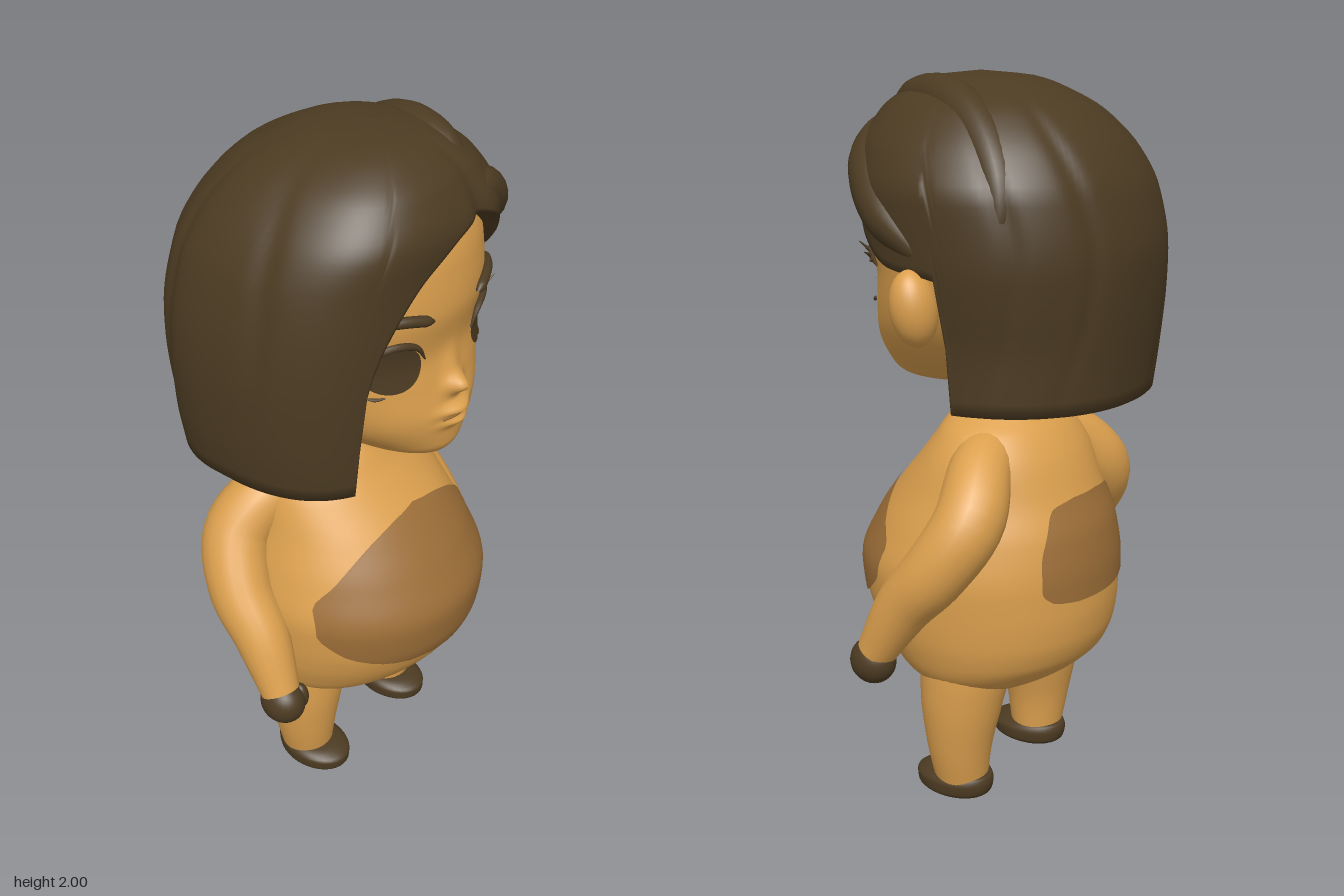
import * as THREE from 'three';

const mat = (name, color) => {
  const m = new THREE.MeshStandardMaterial({ color });
  m.name = name;
  return m;
};

// Smooth monotone interpolation in a table whose rows start with y
function at(table, y) {
  const n = table.length;
  let i = 0;
  while (i < n - 2 && y > table[i + 1][0]) i++;
  const a = table[i], b = table[i + 1], h = b[0] - a[0];
  const t = Math.min(1, Math.max(0, (y - a[0]) / h));
  const slope = (k, c) => {
    const j = Math.min(n - 2, Math.max(0, k));
    return (table[j + 1][c] - table[j][c]) / (table[j + 1][0] - table[j][0]);
  };
  const tangent = (k, c) => {
    const p = slope(k - 1, c), q = slope(k, c);
    return p * q > 0 ? 2 * p * q / (p + q) : 0;
  };
  return a.slice(1).map((v, k) => {
    const c = k + 1, t2 = t * t, t3 = t2 * t;
    return v * (2 * t3 - 3 * t2 + 1) + b[c] * (3 * t2 - 2 * t3)
      + h * (tangent(i, c) * (t3 - 2 * t2 + t) + tangent(i + 1, c) * (t3 - t2));
  });
}

// Surface grid from f(i, j) -> [x, y, z]; wraps in i when closed
function grid(nu, nv, f, closed) {
  const pos = [], idx = [], w = closed ? nu : nu + 1;
  for (let j = 0; j <= nv; j++) for (let i = 0; i < w; i++) pos.push(...f(i, j));
  for (let j = 0; j < nv; j++) for (let i = 0; i < nu; i++) {
    const k = (i + 1) % w, a = j * w + i, b = j * w + k, c = a + w, d = b + w;
    idx.push(a, b, d, a, d, c);
  }
  const g = new THREE.BufferGeometry();
  g.setAttribute('position', new THREE.Float32BufferAttribute(pos, 3));
  g.setIndex(idx);
  g.computeVertexNormals();
  return g;
}

// Upright form from rows [y, halfWidth, frontZ, backZ]; bumps [y, height, sizeX, sizeY] raise the front
function loft(table, nu = 48, sub = 5, bumps = []) {
  const nv = (table.length - 1) * sub;
  return grid(nu, nv, (i, j) => {
    const r = Math.min(table.length - 2, Math.floor(j / sub));
    const y = THREE.MathUtils.lerp(table[r][0], table[r + 1][0], j / sub - r);
    const [w, f, b] = at(table, y), a = i / nu * Math.PI * 2, x = w * Math.sin(a);
    let z = (f + b) / 2 + (f - b) / 2 * Math.cos(a);
    if (Math.cos(a) > 0) for (const [by, h, sx, sy] of bumps)
      z += h * Math.exp(-((x / sx) ** 2) - ((y - by) / sy) ** 2);
    return [x, y, z];
  }, true);
}

// z of a lofted form at (x, y), front (side = 1) or back (side = -1)
function surfaceZ(table, x, y, side = 1) {
  const [w, f, b] = at(table, y);
  return (f + b) / 2 + side * (f - b) / 2 * Math.sqrt(Math.max(0, 1 - (x / w) ** 2));
}

// Thin painted patch lying on a lofted form; span(y) gives its two x limits
function decal(table, y0, y1, span, side = 1, lift = 0.006) {
  const n = 32;
  return grid(n, n, (i, j) => {
    const y = THREE.MathUtils.lerp(y0, y1, (1 - Math.cos(j / n * Math.PI)) / 2);
    const w = at(table, y)[0];
    const [a, b] = span(y).map(x => Math.asin(THREE.MathUtils.clamp(x / w, -1, 1)));
    const u = side > 0 ? i / n : 1 - i / n, x = w * Math.sin(a + (b - a) * u);
    return [x * (1 + lift * 2), y, surfaceZ(table, x, y, side) + side * lift];
  });
}

// Tube of changing radius through points [x, y, z, r]
function limb(points, nu = 20, nv = 28) {
  const curve = new THREE.CatmullRomCurve3(points.map(p => new THREE.Vector3(p[0], p[1], p[2])));
  const { normals, binormals } = curve.computeFrenetFrames(nv);
  const radii = points.map((p, i) => [i, p[3]]);
  return grid(nu, nv, (i, j) => {
    const t = curve.getUtoTmapping(j / nv), r = at(radii, t * (points.length - 1))[0];
    const a = i / nu * Math.PI * 2;
    return curve.getPoint(t).addScaledVector(normals[j], r * Math.cos(a))
      .addScaledVector(binormals[j], r * Math.sin(a)).toArray();
  }, true);
}

const TORSO = [[0.3, 0, 0.01, 0.01], [0.312, 0.13, 0.12, -0.09], [0.345, 0.24, 0.205, -0.155],
  [0.4, 0.31, 0.28, -0.235], [0.45, 0.332, 0.328, -0.28], [0.52, 0.349, 0.375, -0.305],
  [0.6, 0.358, 0.405, -0.313], [0.68, 0.362, 0.412, -0.312], [0.8, 0.335, 0.36, -0.295],
  [0.9, 0.3, 0.29, -0.255], [1, 0.268, 0.205, -0.215], [1.07, 0.22, 0.155, -0.17],
  [1.13, 0.13, 0.13, -0.11], [1.18, 0.105, 0.125, -0.085], [1.26, 0.105, 0.125, -0.085]];

const HEAD = [[1.165, 0, 0.22, 0.22], [1.178, 0.09, 0.335, 0.05], [1.22, 0.17, 0.362, -0.1],
  [1.3, 0.265, 0.368, -0.22], [1.4, 0.322, 0.35, -0.28], [1.48, 0.343, 0.338, -0.31],
  [1.6, 0.35, 0.355, -0.31], [1.7, 0.34, 0.345, -0.28], [1.8, 0.29, 0.31, -0.2],
  [1.9, 0.18, 0.2, -0.1], [1.94, 0, 0.05, 0.05]];

// Nose tip, nose bridge, upper lip, lower lip
const FEATURES = [[1.388, 0.042, 0.03, 0.024], [1.43, 0.014, 0.03, 0.05],
  [1.322, 0.03, 0.05, 0.014], [1.287, 0.022, 0.045, 0.014]];

const FOOT = [[0, 0, 0.04, 0.04], [0.006, 0.06, 0.125, -0.045], [0.025, 0.084, 0.163, -0.07],
  [0.05, 0.086, 0.165, -0.075], [0.07, 0.075, 0.13, -0.07], [0.085, 0, 0.02, 0.02]];

// Hair rows: y, left width, right width, frontZ, backZ
const HAIR = [[1.15, 0.355, 0.43, 0.33, -0.375], [1.3, 0.36, 0.45, 0.34, -0.392],
  [1.45, 0.385, 0.456, 0.35, -0.408], [1.55, 0.4, 0.45, 0.355, -0.413], [1.7, 0.405, 0.42, 0.362, -0.388],
  [1.8, 0.365, 0.375, 0.372, -0.34], [1.9, 0.28, 0.29, 0.33, -0.245], [1.95, 0.2, 0.215, 0.275, -0.155],
  [1.985, 0.11, 0.12, 0.2, -0.06], [1.998, 0, 0, 0.08, 0.08]];

// Lower hair edge: angle from the front (degrees, left positive), y
const EDGE = [[-180, 1.17], [-36, 1.165], [-32, 1.46], [-25, 1.6], [-11, 1.74], [6, 1.815], [24, 1.77],
  [40, 1.67], [55, 1.585], [72, 1.53], [94, 1.51], [98, 1.17], [180, 1.17]];

// Hair shell: down the outside, round the rim and up the inside
function hairShell() {
  const nu = 180, nv = 40, strands = [2.0, 2.55, -2.75, -2.2, -1.5];
  return grid(nu, nv * 2 + 1, (i, j) => {
    const a = Math.PI - i / nu * Math.PI * 2;
    const inside = j > nv, v = (inside ? nv * 2 + 1 - j : j) / nv;
    const low = at(EDGE, a * 180 / Math.PI)[0], y = 1.998 - (1.998 - low) * v ** 1.8;
    const [l, r, f, b] = at(HAIR, y);
    let k = inside ? 0.9 : 1;
    if (!inside) {
      // Grooves between strands, and the parting at the front
      for (const s of strands) {
        const d = a - s - 0.18 * Math.sin(y * 5);
        k -= 0.022 * Math.exp(-((d / 0.07) ** 2)) * Math.sin(Math.PI * Math.min(1, v * 0.95));
      }
      k -= 0.06 * v * Math.exp(-(((a - 0.17) / 0.1) ** 2));
    }
    // Squarer cross-section at the front right
    const e = 0.95 - 0.2 * Math.max(0, Math.cos(a + Math.PI / 4));
    const pw = t => Math.sign(t) * Math.abs(t) ** e;
    const s = pw(Math.sin(a)), c = pw(Math.cos(a));
    return [(s > 0 ? l : r) * s * k, y - (inside ? 0.02 * (1 - v) : 0), (f + b) / 2 + (f - b) / 2 * c * k];
  }, true);
}

export function createModel() {
  const skin = mat('skin', 0xdca04e), patch = mat('brown patch', 0x9c6e38), dark = mat('dark brown', 0x4c3b22);
  const model = new THREE.Group();
  const add = (name, geo, m, parent = model) => {
    const mesh = new THREE.Mesh(geo, m);
    mesh.name = name;
    parent.add(mesh);
    return mesh;
  };
  const ball = (name, m, p, s) => {
    const mesh = add(name, new THREE.SphereGeometry(1, 28, 20), m);
    mesh.position.set(...p);
    mesh.scale.set(...s);
    return mesh;
  };

  // Torso with belly and back patches
  add('torso', loft(TORSO, 64), skin);
  const belly = [[0.545, 0], [0.553, 0.14], [0.575, 0.235], [0.61, 0.3], [0.68, 0.337], [0.75, 0.328],
    [0.82, 0.28], [0.9, 0.19], [0.94, 0.1], [0.96, 0]];
  add('bellyPatch', decal(TORSO, 0.545, 0.96, y => { const h = at(belly, y)[0]; return [-h, h]; }), patch);
  const back = [[0.635, -0.08, 0.1], [0.645, -0.22, 0.17], [0.68, -0.31, 0.2], [0.75, -0.29, 0.195],
    [0.85, -0.22, 0.155], [0.89, -0.16, 0.125], [0.905, -0.06, 0.05]];
  add('backPatch', decal(TORSO, 0.635, 0.905, y => at(back, y), -1), patch);

  // Head with nose and lips, mouth line
  add('head', loft(HEAD, 160, 14, FEATURES), skin);
  add('mouthLine', limb([-0.055, -0.025, 0, 0.025, 0.055].map(x =>
    [x, 1.304, surfaceZ(HEAD, x, 1.304) + 0.009 * (1 - (x / 0.07) ** 2), 0.004]), 6), patch);

  // Left ear
  const ear = ball('ear', skin, [0.39, 1.437, 0.005], [0.065, 0.098, 0.06]);
  ear.rotation.set(0.12, 0.25, -0.12);

  for (const s of [1, -1]) {
    const side = s > 0 ? 'left' : 'right';
    const mirror = points => points.map(([x, ...p]) => [s * x, ...p]);
    const onFace = (x, y, r, lift = 0.008) => [s * x, y, surfaceZ(HEAD, x, y) + lift, r];

    // Eyes, lashes and brows
    add(side + 'Eye', decal(HEAD, 1.415, 1.538, y => {
      const h = 0.067 * Math.sqrt(Math.max(0, 1 - ((y - 1.4765) / 0.0615) ** 2));
      return [s * 0.17 - h, s * 0.17 + h];
    }), dark);
    add(side + 'LashLine', limb([onFace(0.095, 1.49, 0.002), onFace(0.125, 1.532, 0.008),
      onFace(0.175, 1.548, 0.01), onFace(0.235, 1.53, 0.01), onFace(0.285, 1.51, 0.002)], 8), dark);
    [[0.22, 1.535, 0.25, 1.565], [0.24, 1.525, 0.29, 1.545], [0.25, 1.52, 0.305, 1.525]].forEach(([x, y, x2, y2]) =>
      add(side + 'Lash', limb([onFace(x, y, 0.008), onFace(x2, y2, 0.001, 0.045)], 6, 6), dark));
    add(side + 'LowerLash', limb([onFace(0.195, 1.41, 0.002), onFace(0.215, 1.408, 0.005),
      onFace(0.235, 1.415, 0.001)], 6, 8), dark);
    add(side + 'Brow', limb([onFace(0.09, 1.597, 0.004), onFace(0.115, 1.605, 0.014), onFace(0.17, 1.616, 0.014),
      onFace(0.23, 1.615, 0.01), onFace(0.275, 1.6, 0.001)], 10), dark);

    // Arms and hands
    add(side + 'Arm', limb(mirror([[0.1, 1.03, -0.03, 0.07], [0.22, 0.985, -0.07, 0.085], [0.32, 0.88, -0.105, 0.094],
      [0.382, 0.755, -0.045, 0.088], [0.402, 0.645, 0.045, 0.077], [0.424, 0.5, 0.128, 0.054]])), skin);
    ball(side + 'Hand', dark, [s * 0.427, 0.472, 0.138], [0.057, 0.064, 0.066]);
    ball(side + 'Thumb', dark, [s * 0.385, 0.475, 0.165], [0.022, 0.042, 0.025]);

    // Legs and feet
    add(side + 'Leg', limb(mirror([[0.165, 0.52, 0.01, 0.12], [0.18, 0.42, 0.008, 0.128], [0.195, 0.3, 0.015, 0.116],
      [0.2, 0.17, 0.02, 0.094], [0.192, 0.05, 0.02, 0.075]]), 28), skin);
    add(side + 'Foot', loft(FOOT, 36), dark).position.x = s * 0.19;

    // Short hair at the sides of the neck
    ball(side + 'NeckHair', dark, [s * 0.088, 1.18, -0.035], [0.022, 0.05, 0.038]);
  }

  // Hair shell with swept locks left of the parting
  const hair = new THREE.Group();
  hair.name = 'hair';
  model.add(hair);
  add('hairShell', hairShell(), dark, hair);
  add('sweptLock', limb([[0.07, 1.85, 0.31, 0.01], [0.13, 1.84, 0.295, 0.05], [0.25, 1.76, 0.235, 0.07],
    [0.335, 1.66, 0.13, 0.065], [0.37, 1.58, 0.01, 0.035], [0.375, 1.53, -0.06, 0.003]]), dark, hair);
  add('crownLock', limb([[0.07, 1.87, 0.31, 0.004], [0.11, 1.925, 0.21, 0.05], [0.16, 1.925, 0.07, 0.062],
    [0.23, 1.855, -0.08, 0.06], [0.3, 1.72, -0.19, 0.045], [0.335, 1.5, -0.2, 0.005]]), dark, hair);
  return model;
}
